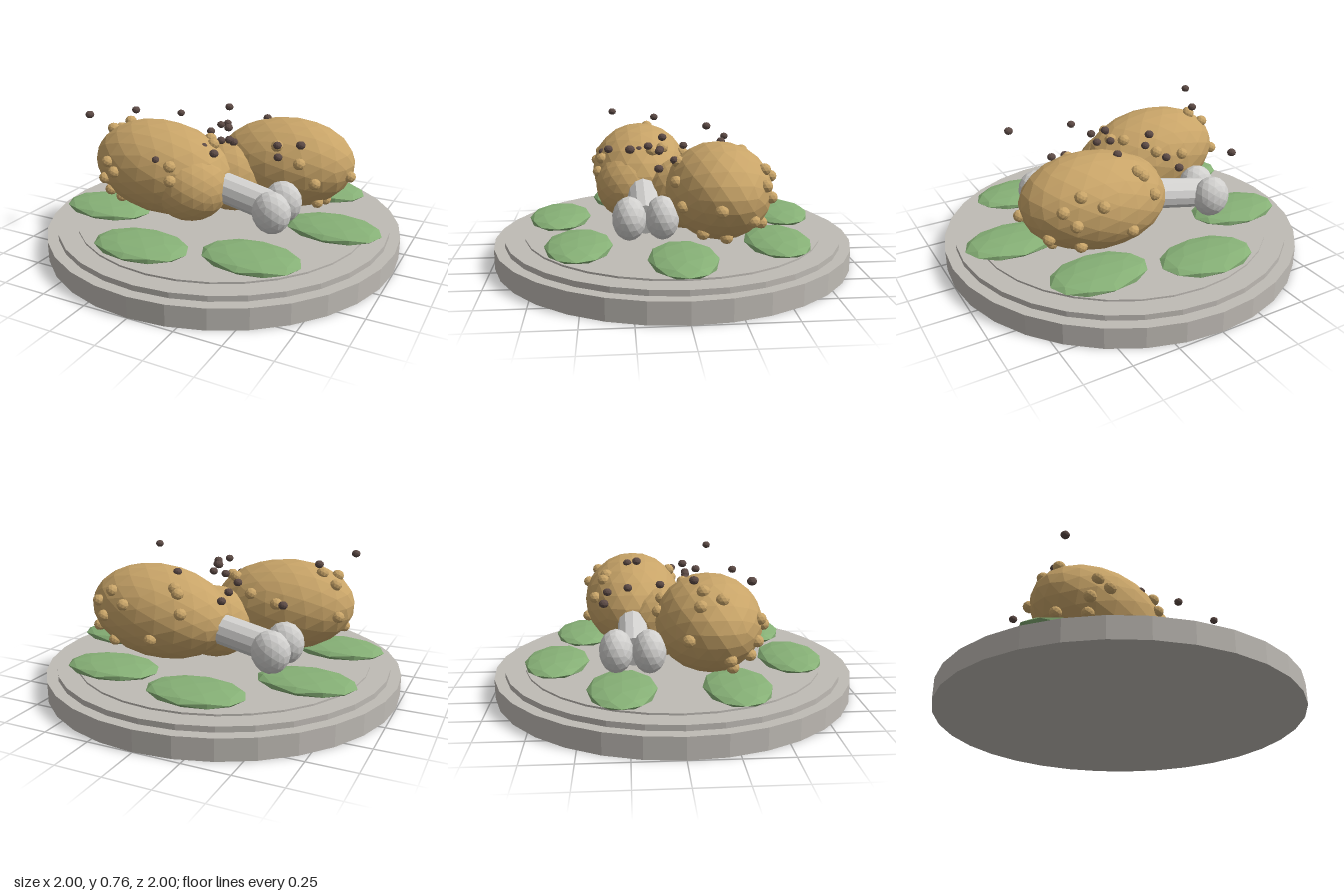
import * as THREE from 'three';

export function createModel() {
  const root = new THREE.Group();
  const paint = (name, color) => {
    const m = new THREE.MeshStandardMaterial({ color });
    m.name = name;
    m.flatShading = true;
    return m;
  };
  const stone = paint('plate grey', 0xbfbbb5);
  const green = paint('leaf green', 0x86b076);
  const gold = paint('roasted gold', 0xc8a468);
  const ivory = paint('bone white', 0xd0cfcd);
  const pepper = paint('pepper brown', 0x5c4a45);

  const add = (parent, name, geometry, material, pos) => {
    const mesh = new THREE.Mesh(geometry, material);
    mesh.name = name;
    mesh.position.set(...pos);
    parent.add(mesh);
    return mesh;
  };
  const ball = (parent, name, material, pos, radii, detail) => {
    const mesh = add(parent, name, new THREE.IcosahedronGeometry(1, detail), material, pos);
    mesh.scale.set(...radii);
    return mesh;
  };

  // stepped round plate
  [['plateBase', 1, 0, 0.115], ['plateRim', 0.94, 0.115, 0.145], ['plateTop', 0.83, 0.145, 0.155]]
    .forEach(([name, r, y0, y1]) =>
      add(root, name, new THREE.CylinderGeometry(r, r, y1 - y0, 32), stone, [0, (y0 + y1) / 2, 0]));

  // ring of salad leaves
  for (let i = 0; i < 7; i++) {
    const a = (i / 7) * Math.PI * 2;
    ball(root, 'leaf', green, [0.66 * Math.cos(a), 0.193, 0.66 * Math.sin(a)], [0.265, 0.042, 0.176], 1);
  }

  // drumstick: two meat lobes, bone, two knuckles, crisp bumps
  function drumstick(name, d) {
    const g = new THREE.Group();
    g.name = name;
    const meat = ball(g, 'meat', gold, d.meat, [0.41, 0.257, 0.28], 3);
    meat.rotation.z = d.tilt;
    ball(g, 'meatNeck', gold, d.neck, d.neckRadii, 3);

    const from = new THREE.Vector3(...d.bone[0]), to = new THREE.Vector3(...d.bone[1]);
    const dir = to.clone().sub(from);
    const bone = add(g, 'bone', new THREE.CylinderGeometry(0.083, 0.083, dir.length(), 12), ivory,
      from.clone().add(to).multiplyScalar(0.5).toArray());
    bone.quaternion.setFromUnitVectors(new THREE.Vector3(0, 1, 0), dir.normalize());
    d.knuckles.forEach(p => ball(g, 'knuckle', ivory, p, [0.105, 0.115, 0.088], 2));

    // bumps are pulled onto the meat surface
    meat.updateMatrix();
    const inverse = meat.matrix.clone().invert();
    d.bumps.forEach(p => {
      const v = new THREE.Vector3(...p).applyMatrix4(inverse).normalize().applyMatrix4(meat.matrix);
      ball(g, 'bump', gold, v.toArray(), [0.034, 0.032, 0.034], 1);
    });
    root.add(g);
  }

  drumstick('frontDrumstick', {
    meat: [-0.295, 0.447, 0.17], tilt: -0.1,
    neck: [-0.09, 0.39, 0.22], neckRadii: [0.215, 0.2, 0.21],
    bone: [[-0.02, 0.41, 0.17], [0.4, 0.32, 0.17]],
    knuckles: [[0.405, 0.33, 0.255], [0.4, 0.33, 0.085]],
    bumps: [
      [-0.49, 0.51, 0.39], [-0.44, 0.47, 0.42], [-0.53, 0.41, 0.38], [-0.53, 0.33, 0.36],
      [-0.53, 0.25, 0.28], [-0.12, 0.54, 0.39], [-0.1, 0.47, 0.42], [-0.57, 0.62, 0.2],
      [-0.52, 0.65, 0.12], [-0.67, 0.33, 0.25], [-0.6, 0.6, 0.1], [-0.35, 0.52, -0.09],
      [-0.2, 0.55, -0.06], [-0.07, 0.6, 0.06], [-0.03, 0.59, 0.12], [-0.65, 0.45, 0.04],
    ],
  });

  drumstick('backDrumstick', {
    meat: [0.28, 0.442, -0.22], tilt: 0.1,
    neck: [0.03, 0.37, -0.06], neckRadii: [0.24, 0.2, 0.21],
    bone: [[0.02, 0.41, -0.225], [-0.4, 0.32, -0.225]],
    knuckles: [[-0.41, 0.33, -0.315], [-0.425, 0.33, -0.145]],
    bumps: [
      [0.08, 0.6, -0.39], [0.11, 0.62, -0.37], [0.06, 0.5, -0.42], [0.55, 0.52, -0.42],
      [0.5, 0.45, -0.46], [0.36, 0.53, -0.48], [0.45, 0.58, -0.42], [0.62, 0.35, -0.36],
      [0.32, 0.6, -0.01], [0.55, 0.42, 0.0], [0.55, 0.26, -0.1], [0.68, 0.43, -0.18],
      [0.55, 0.24, -0.23], [0.47, 0.3, -0.43], [0.2, 0.36, -0.48], [0.46, 0.53, 0.02],
    ],
  });

  // scattered peppercorns
  [
    [-0.66, 0.74, 0.33], [-0.53, 0.72, 0.07], [-0.065, 0.73, -0.2], [0.55, 0.715, 0.25],
    [0.06, 0.69, 0.06], [0.155, 0.68, -0.25], [0.105, 0.65, 0.14], [0.125, 0.64, 0.355],
    [0.02, 0.615, 0.07], [0.1, 0.62, 0.08], [-0.03, 0.605, 0.185], [0.33, 0.615, 0.015],
    [0.37, 0.58, 0.1], [-0.2, 0.565, 0.39], [-0.49, 0.6, -0.37], [-0.155, 0.58, -0.36],
    [-0.145, 0.6, -0.25], [-0.12, 0.61, -0.075],
  ].forEach(p => ball(root, 'peppercorn', pepper, p, [0.024, 0.021, 0.024], 1));

  return root;
}
